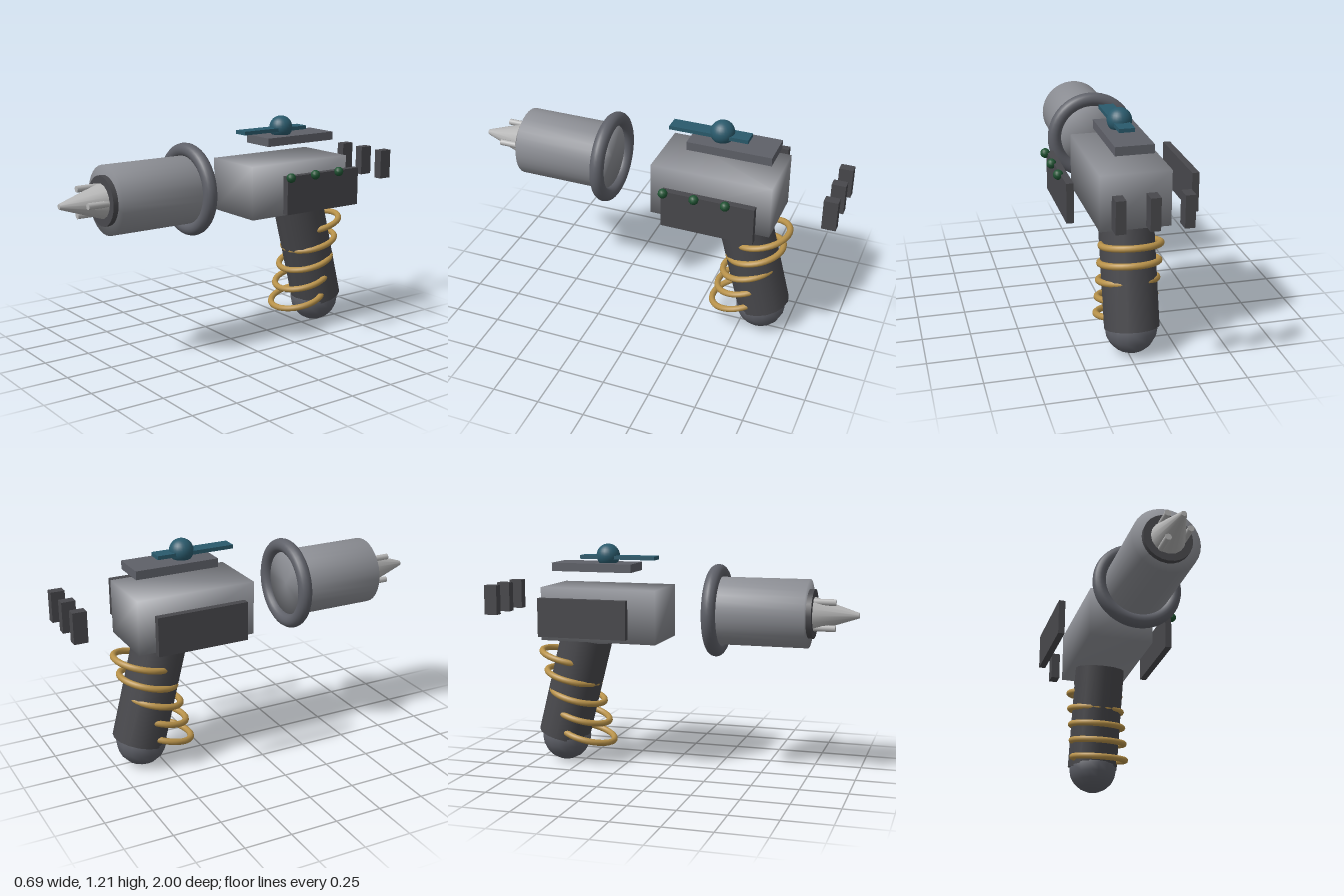
import * as THREE from 'three';
import { mergeVertices } from 'three/addons/utils/BufferGeometryUtils.js';

const CX = -0.02; // centre line of the device
const TILT = 0.25; // lean of the grip
const AXIS_Y = 0.873; // barrel height

const paint = (color) => new THREE.MeshStandardMaterial({ color });
const steel = paint(0x8c8e94);
const gunmetal = paint(0x5e6068);
const charcoal = paint(0x48484c);
const silver = paint(0xb4b4b4);
const brass = paint(0xb8924a);
const teal = paint(0x2a5a6c);
const green = paint(0x1f5232);

// Share corner normals so the shading rolls over the edges
function softened(geometry) {
  geometry.deleteAttribute('normal');
  geometry.deleteAttribute('uv');
  const merged = mergeVertices(geometry);
  merged.computeVertexNormals();
  return merged;
}

export function createModel() {
  const model = new THREE.Group();
  model.name = 'rayBlaster';

  const add = (name, geometry, material, x, y, z) => {
    const mesh = new THREE.Mesh(geometry, material);
    mesh.name = name;
    mesh.position.set(x, y, z);
    model.add(mesh);
    return mesh;
  };
  const box = (w, h, d) => new THREE.BoxGeometry(w, h, d);
  // Cylinder lying along z, spanning z0 to z1
  const rod = (name, rFront, rBack, z0, z1, sides, material, x = CX, y = AXIS_Y, soft = false) => {
    let geometry = new THREE.CylinderGeometry(rFront, rBack, z1 - z0, sides).rotateX(Math.PI / 2);
    if (soft) geometry = softened(geometry);
    return add(name, geometry, material, x, y, (z0 + z1) / 2);
  };

  // Body
  add('body', softened(box(0.356, 0.285, 0.64)), steel, CX, 0.842, -0.35);

  // Barrel, collar ring and muzzle
  rod('barrel', 0.178, 0.178, 0.26, 0.745, 32, steel, CX, AXIS_Y, true);
  add('barrelRing', new THREE.TorusGeometry(0.206, 0.037, 16, 48), gunmetal, CX, AXIS_Y, 0.26);
  rod('muzzleDisc', 0.128, 0.128, 0.72, 0.772, 24, charcoal);
  rod('emitterCone', 0.014, 0.09, 0.77, 1.0, 16, silver);
  for (let i = 0; i < 3; i++) {
    const a = (i * Math.PI * 2) / 3;
    rod('emitterProng', 0.017, 0.017, 0.77, 0.885, 8, silver,
      CX + 0.077 * Math.cos(a), AXIS_Y + 0.077 * Math.sin(a));
  }

  // Leaning grip with rounded pommel
  add('grip', new THREE.CylinderGeometry(0.141, 0.141, 0.575, 16), charcoal, CX, 0.426, -0.548)
    .rotation.x = TILT;
  add('pommel', new THREE.SphereGeometry(0.134, 16, 10), gunmetal, CX, 0.139, -0.605);

  // Coils around the grip, drifting forwards towards the bottom
  const coil = new THREE.TorusGeometry(0.148, 0.017, 10, 40).rotateX(Math.PI / 2);
  for (let i = 0; i < 5; i++) {
    add('gripCoil', coil, brass, CX, 0.588 - 0.107 * i, -0.588 + 0.028 * i).rotation.x = TILT;
  }

  // Side panels
  for (const side of [-1, 1]) {
    add('sidePanel', box(0.036, 0.202, 0.483), charcoal, CX + side * 0.31, 0.842, -0.384);
  }

  // Buttons on the left panel
  const button = new THREE.SphereGeometry(0.025, 12, 8);
  for (const z of [-0.157, -0.319, -0.48]) add('button', button, green, 0.317, 0.938, z);

  // Top plate and sight
  add('topPlate', box(0.194, 0.045, 0.446), gunmetal, CX, 1.087, -0.415);
  add('sightBar', box(0.08, 0.02, 0.418), teal, CX, 1.139, -0.287);
  add('sightDome', new THREE.SphereGeometry(0.063, 24, 16), teal, CX, 1.148, -0.35);

  // Rear vents
  for (const dx of [-0.161, 0, 0.161]) {
    add('rearVent', box(0.049, 0.16, 0.072), charcoal, CX + dx, 0.905, -0.964);
  }

  return model;
}
